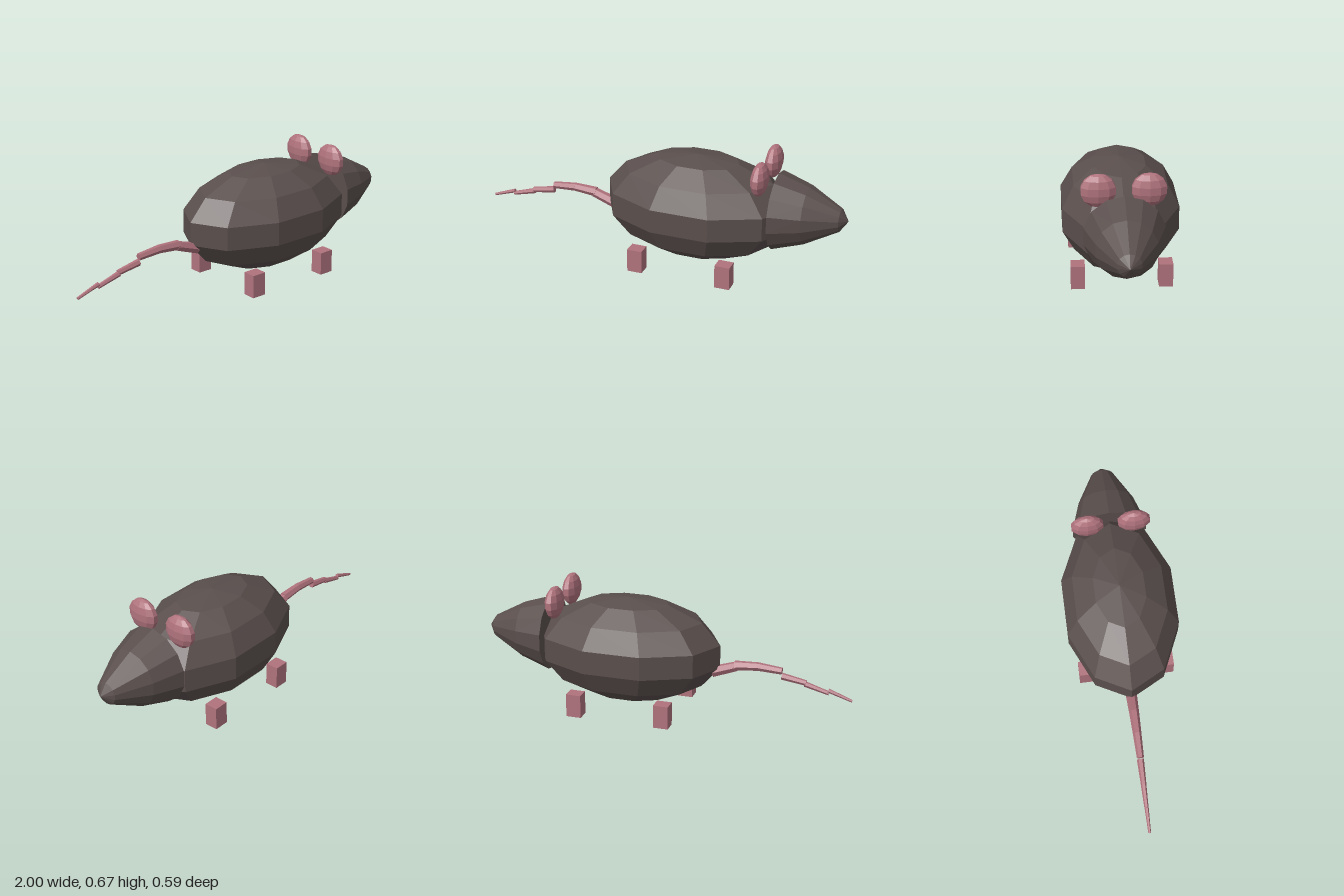
import * as THREE from 'three';

const mat = (name, color) => {
  const m = new THREE.MeshStandardMaterial({ color, flatShading: true });
  m.name = name;
  return m;
};

export function createModel() {
  const fur = mat('dark fur', 0x5a4f4d);
  const skin = mat('pink skin', 0xb0737d);
  const model = new THREE.Group();
  model.name = 'rodent';

  const add = (name, geometry, material, x, y, z) => {
    const mesh = new THREE.Mesh(geometry, material);
    mesh.name = name;
    mesh.position.set(x, y, z);
    model.add(mesh);
    return mesh;
  };

  // Faceted egg-shaped body
  const ball = new THREE.SphereGeometry(1, 10, 7);
  add('body', ball, fur, 0.2, 0.33, 0).scale.set(0.513, 0.28, 0.316);

  // Pointed head with a flat back, turned to face +x
  const profile = [[0, 0], [0.204, 0], [0.152, 0.16], [0.06, 0.33], [0, 0.37]]
    .map(([r, h]) => new THREE.Vector2(r, h));
  const headGeo = new THREE.LatheGeometry(profile, 14, Math.PI / 2);
  add('head', headGeo, fur, 0.63, 0.369, 0).rotation.z = -Math.PI / 2;

  // Ears and legs, mirrored across z
  for (const side of [1, -1]) {
    const label = side > 0 ? 'near' : 'far';
    add(label + 'Ear', ball, skin, 0.568, 0.58, side * 0.123).scale.set(0.043, 0.086, 0.09);
    for (const [name, x] of [['FrontLeg', 0.425], ['BackLeg', -0.055]]) {
      add(label + name, new THREE.BoxGeometry(0.08, 0.124, 0.071), skin, x, 0.062, side * 0.2215);
    }
  }

  // Tail: overlapping tapered links, each [start x, start y, end x, end y]
  const links = [
    [-0.26, 0.245, -0.39, 0.29], [-0.38, 0.293, -0.505, 0.302],
    [-0.5, 0.302, -0.63, 0.292], [-0.63, 0.264, -0.757, 0.242],
    [-0.75, 0.236, -0.877, 0.2], [-0.873, 0.215, -0.998, 0.172],
  ];
  const radius = (x) => 0.007 + 0.031 * (x + 1);
  const up = new THREE.Vector3(0, 1, 0);
  links.forEach(([x0, y0, x1, y1], i) => {
    const dir = new THREE.Vector3(x1 - x0, y1 - y0, 0);
    const geo = new THREE.CylinderGeometry(radius(x1), radius(x0), dir.length(), 6);
    const link = add('tailLink' + (i + 1), geo, skin, (x0 + x1) / 2, (y0 + y1) / 2, 0);
    link.quaternion.setFromUnitVectors(up, dir.normalize());
  });

  return model;
}
